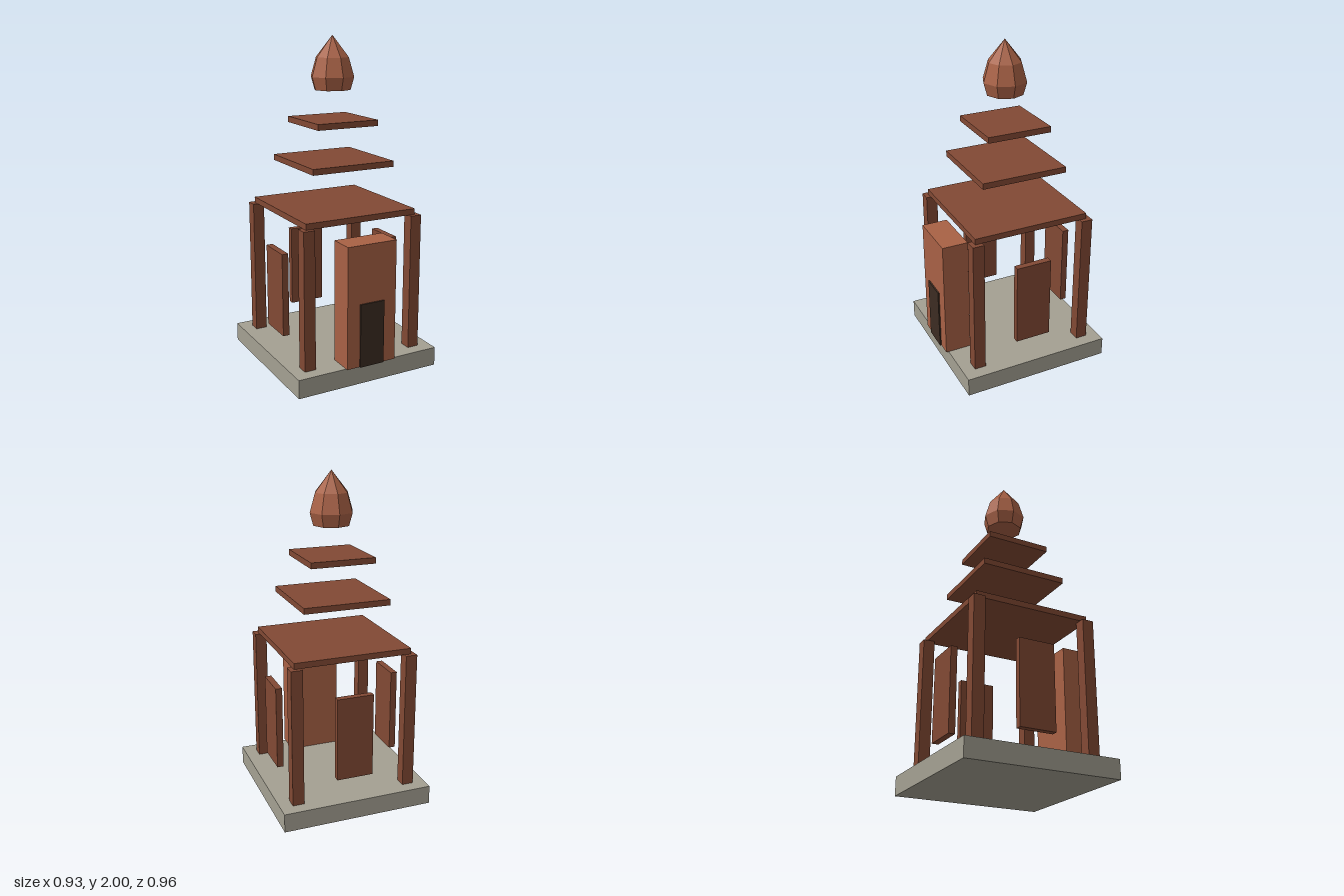
import * as THREE from 'three';

export function createModel() {
  const mat = (name, color) => {
    const m = new THREE.MeshStandardMaterial({ color, flatShading: true });
    m.name = name;
    return m;
  };
  const stone = mat('grey stone', 0xa4a092);
  const brick = mat('terracotta', 0xa86145);
  const trim = mat('dark terracotta', 0x824934);
  const wood = mat('dark wood', 0x3c2c22);

  const model = new THREE.Group();
  model.name = 'shrine';

  // The tower axis sits slightly behind the centre because of the porch
  const tower = new THREE.Group();
  tower.name = 'tower';
  tower.position.z = -0.0135;
  model.add(tower);

  // Box standing on y0, reaching up to y1
  const box = (parent, name, material, w, y0, y1, d, x = 0, z = 0) => {
    const mesh = new THREE.Mesh(new THREE.BoxGeometry(w, y1 - y0, d), material);
    mesh.name = name;
    mesh.position.set(x, (y0 + y1) / 2, z);
    parent.add(mesh);
    return mesh;
  };

  // Plinth
  box(tower, 'plinth', stone, 0.934, 0, 0.115, 0.934);

  // Corner pillars
  for (const sx of [-1, 1]) {
    for (const sz of [-1, 1]) {
      box(tower, 'cornerPillar', trim, 0.071, 0.115, 0.955, 0.071, sx * 0.3545, sz * 0.3545);
    }
  }

  // Blind panels on the sides and back
  for (const s of [-1, 1]) box(tower, 'sidePanel', trim, 0.04, 0.232, 0.747, 0.224, s * 0.376, 0);
  box(tower, 'backPanel', trim, 0.226, 0.232, 0.747, 0.04, 0, -0.376);

  // Cornice slabs, shrinking towards the top
  for (const [w, y] of [[0.725, 0.955], [0.535, 1.237], [0.398, 1.477]]) {
    box(tower, 'corniceSlab', trim, w, y, y + 0.036, w);
  }

  // Eight-sided bud finial
  const profile = [[0, 1.683], [0.112, 1.683], [0.134, 1.76], [0.101, 1.873], [0, 2]]
    .map(([r, y]) => new THREE.Vector2(r, y));
  const finial = new THREE.Mesh(new THREE.LatheGeometry(profile, 8), brick);
  finial.name = 'finial';
  tower.add(finial);

  // Entrance porch and door
  box(model, 'porch', brick, 0.322, 0.115, 0.858, 0.16, 0, 0.389);
  box(model, 'door', wood, 0.158, 0.115, 0.505, 0.009, 0, 0.4735);

  return model;
}
